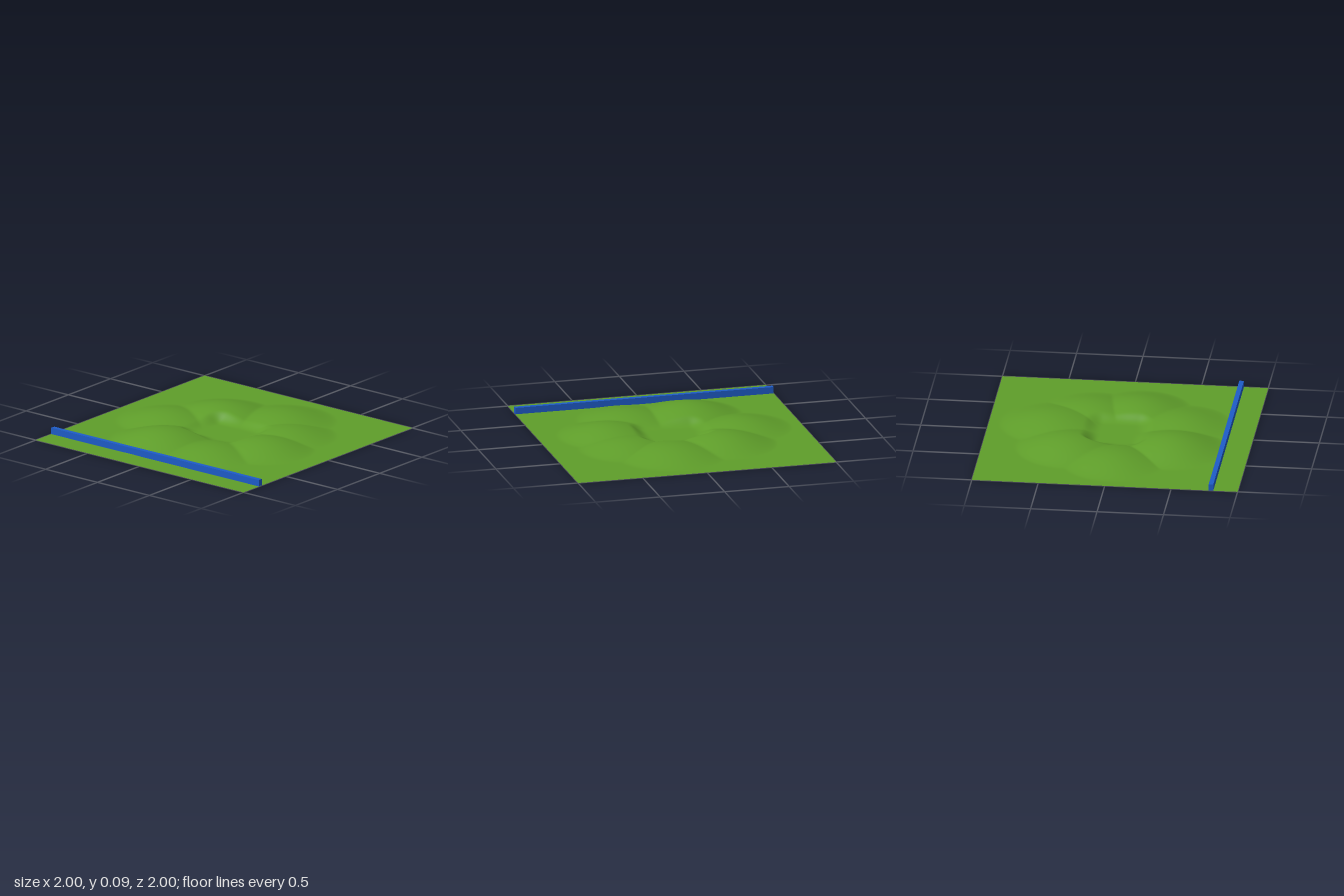
import * as THREE from 'three';

const BASE = 0.01;

// mounds ringed around a level middle: [x, z, radius, height]
const MOUNDS = [
  [-0.24, 0.42, 0.41, 0.089],
  [0.14, -0.5, 0.42, 0.069],
  [0.46, 0.1, 0.39, 0.075],
  [-0.3, -0.34, 0.41, 0.081],
  [-0.53, 0.01, 0.39, 0.065],
  [0.4, -0.25, 0.38, 0.062],
  [0.23, 0.44, 0.38, 0.06],
];

function moundHeight(x, z) {
  let h = 0;
  for (const [mx, mz, r, top] of MOUNDS) {
    const d2 = ((x - mx) ** 2 + (z - mz) ** 2) / (r * r);
    if (d2 < 1) h = Math.max(h, top * (1 - d2) ** 1.5);
  }
  // the middle is levelled off with a soft bank
  const dx = Math.max(0, Math.abs(x) - 0.17);
  const dz = Math.max(0, Math.abs(z + 0.02) - 0.13);
  return h * THREE.MathUtils.smoothstep(Math.hypot(dx, dz), 0, 0.13);
}

export function createModel() {
  const group = new THREE.Group();
  const grass = new THREE.MeshStandardMaterial({ color: 0x5f9e2a, side: THREE.DoubleSide });
  grass.name = 'grass green';
  const blue = new THREE.MeshStandardMaterial({ color: 0x1e5cc8 });
  blue.name = 'wall blue';

  const add = (name, geometry, material, y, z = 0) => {
    const mesh = new THREE.Mesh(geometry, material);
    mesh.name = name;
    mesh.position.set(0, y, z);
    group.add(mesh);
  };

  // flat sheet that closes the underside
  add('groundSheet', new THREE.PlaneGeometry(2, 2).rotateX(-Math.PI / 2), grass, BASE);

  // rolling turf lying on the sheet
  const turf = new THREE.PlaneGeometry(2, 2, 140, 140).rotateX(-Math.PI / 2);
  const p = turf.attributes.position;
  for (let i = 0; i < p.count; i++) p.setY(i, moundHeight(p.getX(i), p.getZ(i)));
  turf.computeVertexNormals();
  add('turfMounds', turf, grass, BASE + 0.001);

  // low straight wall along the front
  add('frontWall', new THREE.BoxGeometry(2, 0.05, 0.035), blue, BASE + 0.026, 0.8);

  return group;
}
